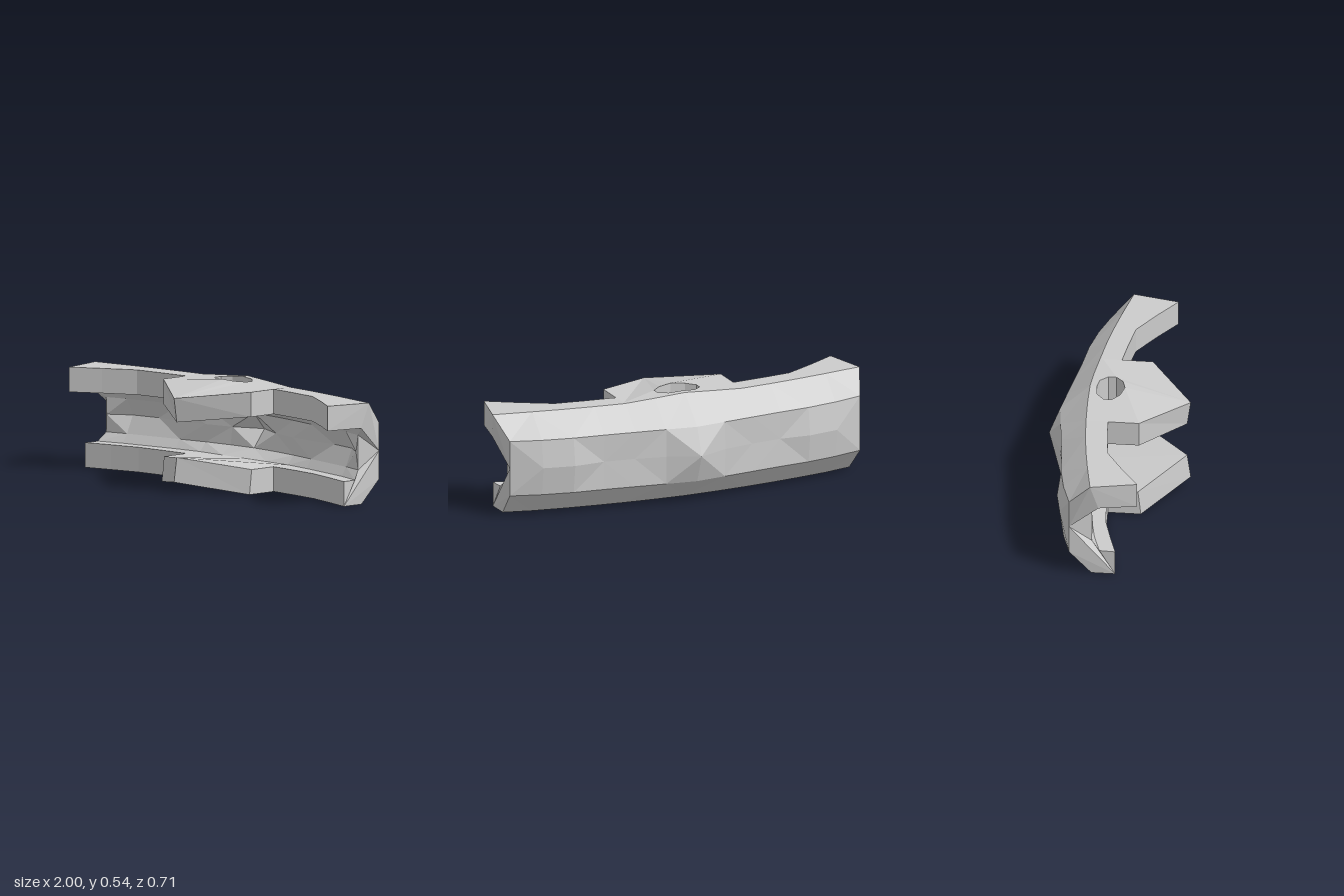
import * as THREE from 'three';

const material = new THREE.MeshStandardMaterial({ color: 0xcccccc, flatShading: true, side: THREE.DoubleSide });

// z of each long edge, sampled along one half from the middle to the end
const X = [0, 0.16, 0.32, 0.32, 0.48, 0.64, 0.8, 1];
const Z = {
  topFront: [-0.12, -0.12, -0.12, -0.025, -0.01, 0.01, 0.1, 0.19],
  lowFront: [-0.12, -0.12, -0.12, -0.025, -0.015, 0, 0.04, 0.08],
  rim: [-0.15, -0.145, -0.135, -0.135, -0.12, -0.1, -0.075, -0.04],
  wall: [-0.3, -0.28, -0.26, -0.26, -0.24, -0.225, -0.195, -0.15],
  ridge: [-0.355, -0.285, -0.255, -0.255, -0.237, -0.245, -0.215, -0.15],
  fillet: [-0.12, -0.12, -0.12, -0.12, -0.1, -0.07, -0.04, 0],
  inner: [-0.19, -0.18, -0.16, -0.16, -0.13, -0.1, -0.07, -0.04],
  groove: [-0.26, -0.19, -0.155, -0.155, -0.135, -0.14, -0.11, -0.035],
};
// C-shaped cross-section: edge, height, x where the edge ends
const PROFILE = [
  ['topFront', 0.515, 0.945], ['rim', 0.515, 1], ['wall', 0.4, 0.955], ['ridge', 0.26, 0.955],
  ['wall', 0.117, 0.955], ['rim', 0, 0.945], ['lowFront', 0, 0.945], ['lowFront', 0.125, 0.945],
  ['fillet', 0.125, 0.94], ['inner', 0.17, 0.92], ['groove', 0.26, 0.91], ['inner', 0.345, 0.92],
  ['fillet', 0.39, 0.985], ['topFront', 0.39, 0.945],
];

// the top face rises gently toward the middle
const crown = (x) => 0.022 * Math.max(0, 1 - Math.abs(x) / 0.32);

function section(k, side) {
  return PROFILE.map(([edge, y, end], j) => new THREE.Vector3(
    side * (k === X.length - 1 ? end : X[k]),
    y + (j < 2 ? crown(X[k]) : 0),
    Z[edge][k]));
}

function channelGeometry() {
  const pos = [];
  const tri = (a, b, c, side) => {
    const area = b.clone().sub(a).cross(c.clone().sub(a)).length();
    if (area < 1e-7) return;
    for (const p of side > 0 ? [a, b, c] : [a, c, b]) pos.push(p.x, p.y, p.z);
  };
  for (const side of [1, -1]) {
    const rings = X.map((_, k) => section(k, side));
    for (let k = 0; k < X.length - 1; k++) {
      PROFILE.forEach((_, j) => {
        const n = (j + 1) % PROFILE.length;
        const a = rings[k][j], b = rings[k][n], c = rings[k + 1][n], d = rings[k + 1][j];
        if ((k + j) % 2) { tri(a, d, c, side); tri(a, c, b, side); }
        else { tri(a, d, b, side); tri(d, c, b, side); }
      });
    }
    // end cap
    const end = rings[X.length - 1];
    const flat = end.map((p) => new THREE.Vector2(-p.z, p.y));
    for (const [a, b, c] of THREE.ShapeUtils.triangulateShape(flat, [])) {
      const ccw = flat[b].clone().sub(flat[a]).cross(flat[c].clone().sub(flat[a])) > 0;
      tri(end[a], end[ccw ? b : c], end[ccw ? c : b], side);
    }
  }
  const geo = new THREE.BufferGeometry();
  geo.setAttribute('position', new THREE.Float32BufferAttribute(pos, 3));
  geo.computeVertexNormals();
  return geo;
}

// half of a pointed plate; its corners are moved so the tip leans toward the gap
function lugHalf(side, upper) {
  const outline = [[0, 0.345], [0.32, 0.13], [0.32, -0.12], [0, -0.12]];
  if (upper) outline.push([0, -0.115], [0.07, -0.108], [0.115, -0.07], [0.115, -0.03], [0.07, 0.008], [0, 0.025]);
  const shape = new THREE.Shape(outline.map(([x, z]) => new THREE.Vector2(side * x, -z)));
  const geo = new THREE.ExtrudeGeometry(shape, { depth: 1, bevelEnabled: false }).rotateX(-Math.PI / 2);
  const p = geo.attributes.position;
  for (let i = 0; i < p.count; i++) {
    const x = p.getX(i), z = p.getZ(i), top = p.getY(i) > 0.5;
    const tip = z > 0.3;
    if (upper) p.setY(i, top ? (tip ? 0.472 : 0.515 + crown(x)) : (tip ? 0.35 : 0.39));
    else p.setY(i, top ? (tip ? 0.173 : 0.125) : (tip ? 0.05 : 0));
    if (tip) p.setZ(i, top === upper ? 0.355 : 0.337);
    else if (z > 0.1 && !upper) p.setZ(i, top ? 0.125 : 0.14);
  }
  geo.computeVertexNormals();
  return geo;
}

export function createModel() {
  const model = new THREE.Group();
  model.name = 'curvedGuard';
  const add = (parent, geo, name) => {
    const mesh = new THREE.Mesh(geo, material);
    mesh.name = name;
    parent.add(mesh);
  };

  add(model, channelGeometry(), 'curvedChannel');

  // pointed lugs in the middle, the upper one pierced
  for (const upper of [true, false]) {
    const lug = new THREE.Group();
    lug.name = upper ? 'upperLug' : 'lowerLug';
    add(lug, lugHalf(1, upper), 'leftHalf');
    add(lug, lugHalf(-1, upper), 'rightHalf');
    model.add(lug);
  }
  return model;
}
